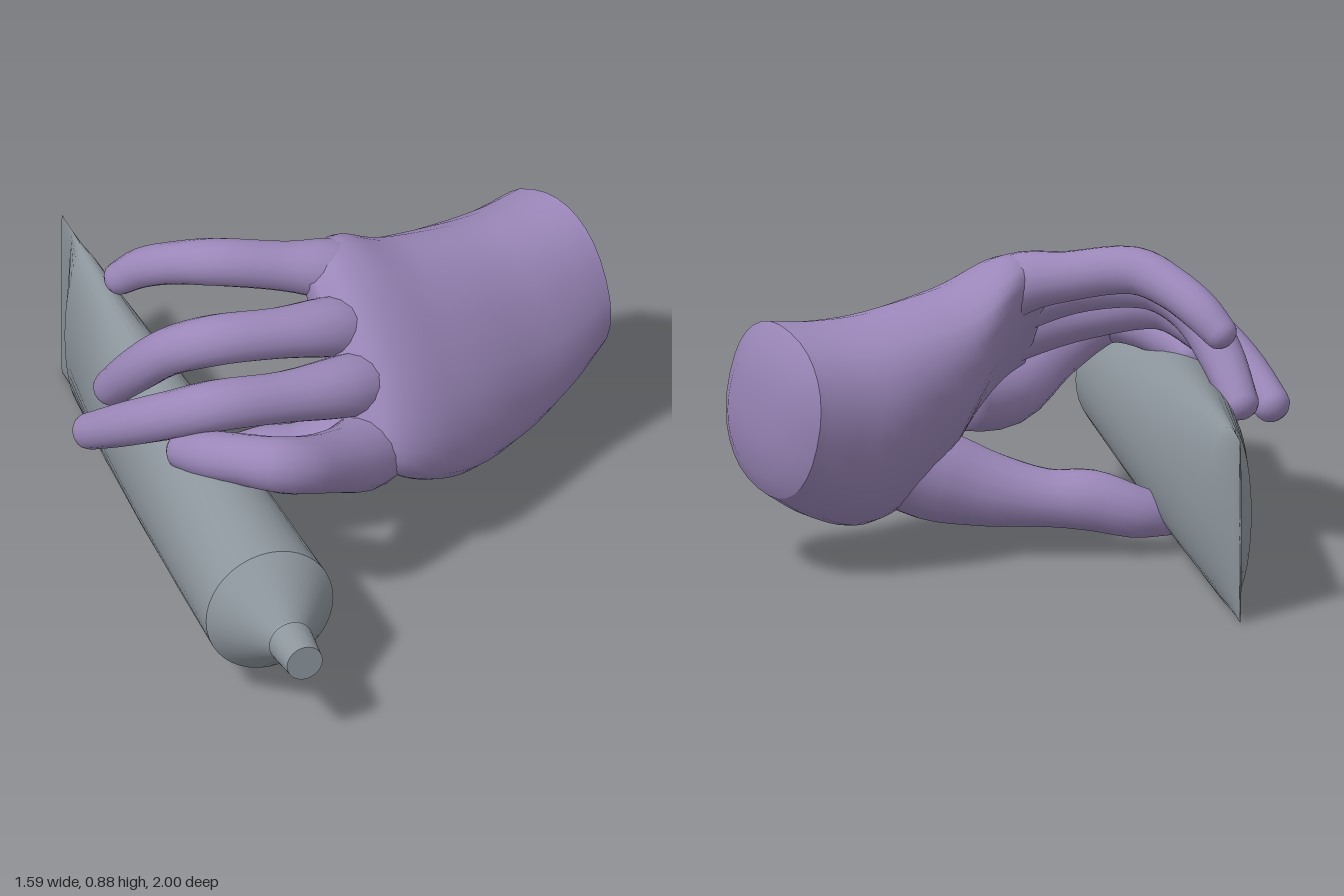
import * as THREE from 'three';

const V = (x, y, z) => new THREE.Vector3(x, y, z);
const skin = new THREE.MeshStandardMaterial({ color: 0x9b87b9, side: THREE.DoubleSide });
const metal = new THREE.MeshStandardMaterial({ color: 0x8d969d, side: THREE.DoubleSide });

// Oval ring with half-axes a and b; 'palm' flattens the b < 0 half, 'power' < 1 squares it
function ring(c, a, b, n, palm = 1, power = 1) {
  const bend = (v) => Math.sign(v) * Math.abs(v) ** power;
  return Array.from({ length: n }, (_, j) => {
    const t = (j / n) * Math.PI * 2;
    const s = bend(Math.sin(t));
    return c.clone().addScaledVector(a, bend(Math.cos(t))).addScaledVector(b, s < 0 ? s * palm : s);
  });
}

// Skin over a list of rings, closed at both ends; a repeated ring gives a sharp edge
function loft(name, rings, material) {
  const n = rings[0].length, pos = [], idx = [];
  rings.forEach((r) => r.forEach((p) => pos.push(p.x, p.y, p.z)));
  for (let i = 0; i < rings.length - 1; i++) {
    for (let j = 0; j < n; j++) {
      const a = i * n + j, b = i * n + ((j + 1) % n);
      idx.push(a, b, b + n, a, b + n, a + n);
    }
  }
  const last = rings.length - 1;
  [0, last].forEach((i) => {
    const c = rings[i].reduce((s, p) => s.add(p), V(0, 0, 0)).divideScalar(n);
    const k = pos.length / 3;
    pos.push(c.x, c.y, c.z);
    for (let j = 0; j < n; j++) {
      const a = i * n + j, b = i * n + ((j + 1) % n);
      if (i === 0) idx.push(k, b, a);
      else idx.push(k, a, b);
    }
  });
  const g = new THREE.BufferGeometry();
  g.setAttribute('position', new THREE.Float32BufferAttribute(pos, 3));
  g.setIndex(idx);
  g.computeVertexNormals();
  const mesh = new THREE.Mesh(g, material);
  mesh.name = name;
  return mesh;
}

// Tapered finger along joints [x, y, z, radius] with a rounded tip
function finger(name, joints) {
  const path = new THREE.CatmullRomCurve3(joints.map((p) => V(p[0], p[1], p[2])));
  const size = new THREE.CatmullRomCurve3(joints.map((p) => V(p[3], 0, 0)), false, 'catmullrom');
  const rings = [], steps = 24, n = 16;
  const add = (c, dir, r) => {
    const a = V(0, 0, 1).cross(dir).normalize();
    rings.push(ring(c, a.clone().multiplyScalar(r), dir.clone().cross(a).multiplyScalar(r), n));
  };
  for (let i = 0; i <= steps; i++) {
    add(path.getPoint(i / steps), path.getTangent(i / steps), size.getPoint(i / steps).x);
  }
  const end = joints[joints.length - 1][3], dir = path.getTangent(1), tip = path.getPoint(1);
  for (const k of [0.4, 0.8, 1.15, 1.4]) {
    add(tip.clone().addScaledVector(dir, Math.sin(k) * end * 0.8), dir, Math.cos(k) * end);
  }
  return loft(name, rings, skin);
}

// Palm and wrist: [x, y, z], half width, half thickness, tilt, yaw (degrees), palm-side fullness
function palm() {
  const keys = [
    [[-0.1, 0.6, 0.06], 0.25, 0.05, 44, 6, 0.7],
    [[-0.03, 0.585, 0.06], 0.33, 0.12, 44, 8, 0.7],
    [[0.07, 0.54, 0.005], 0.365, 0.175, 42, 14, 0.7],
    [[0.22, 0.455, -0.095], 0.35, 0.22, 36, 22, 0.82],
    [[0.42, 0.42, -0.21], 0.32, 0.225, 25, 26, 0.98],
    [[0.57, 0.44, -0.275], 0.285, 0.22, 20, 27, 1],
    [[0.69, 0.485, -0.325], 0.25, 0.215, 18, 27, 1],
  ];
  const curve = (f) => new THREE.CatmullRomCurve3(keys.map(f), false, 'catmullrom');
  const centre = curve((k) => V(...k[0]));
  const sizes = curve((k) => V(k[1], k[2], k[5]));
  const turns = curve((k) => V(k[3], k[4], 0).multiplyScalar(Math.PI / 180));
  const rings = [], steps = 30;
  for (let i = 0; i <= steps; i++) {
    const t = i / steps, s = sizes.getPoint(t), r = turns.getPoint(t);
    const side = V(Math.sin(r.y), 0, Math.cos(r.y));
    const a = V(0, Math.cos(r.x), 0).addScaledVector(side, -Math.sin(r.x)).multiplyScalar(s.x);
    const b = V(0, Math.sin(r.x), 0).addScaledVector(side, Math.cos(r.x)).multiplyScalar(s.y);
    rings.push(ring(centre.getPoint(t), a, b, 32, s.z, 0.88));
  }
  // Slightly domed end of the wrist
  const rim = rings[steps], hub = centre.getPoint(1);
  rings.push(rim.map((p) => p.clone()));
  for (const [shrink, out] of [[0.25, 0.035], [0.65, 0.05]]) {
    rings.push(rim.map((p) => p.clone().lerp(hub, shrink).addScaledVector(V(0.88, 0, -0.45), out)));
  }
  return loft('palmAndWrist', rings, skin);
}

// Part of the squeeze tube from sections [z, half width, half height, centre y], edged past the shoulder
function tubePart(name, sections) {
  const rings = [];
  sections.forEach(([z, w, h, y]) => {
    const r = ring(V(-0.51, y, z), V(w, 0, 0), V(0, h, 0), 40);
    rings.push(r);
    if (z > 0.7) rings.push(r.map((p) => p.clone()));
  });
  return loft(name, rings, metal);
}

export function createModel() {
  const model = new THREE.Group();

  const hand = new THREE.Group();
  hand.name = 'hand';
  hand.add(
    palm(),
    finger('indexFinger', [[0.14, 0.4, 0.04, 0.09], [-0.04, 0.385, 0.205, 0.11], [-0.2, 0.455, 0.335, 0.087],
      [-0.36, 0.525, 0.41, 0.08], [-0.45, 0.52, 0.34, 0.072], [-0.52, 0.495, 0.25, 0.068], [-0.565, 0.465, 0.16, 0.056]]),
    finger('middleFinger', [[0.12, 0.5, 0.03, 0.07], [-0.06, 0.565, 0.145, 0.09], [-0.28, 0.595, 0.185, 0.073],
      [-0.48, 0.61, 0.185, 0.073], [-0.58, 0.56, 0.115, 0.068], [-0.67, 0.48, 0.0, 0.063], [-0.74, 0.39, -0.13, 0.052]]),
    finger('ringFinger', [[0.14, 0.58, -0.06, 0.07], [-0.06, 0.68, 0.02, 0.086], [-0.25, 0.71, 0.04, 0.072],
      [-0.43, 0.71, 0.015, 0.072], [-0.53, 0.65, -0.06, 0.067], [-0.59, 0.55, -0.15, 0.063], [-0.63, 0.43, -0.26, 0.052]]),
    finger('littleFinger', [[0.16, 0.63, -0.16, 0.07], [-0.01, 0.76, -0.13, 0.088], [-0.16, 0.79, -0.16, 0.07],
      [-0.34, 0.812, -0.21, 0.067], [-0.43, 0.78, -0.29, 0.06], [-0.5, 0.73, -0.37, 0.056], [-0.55, 0.675, -0.42, 0.047]]),
    finger('thumb', [[0.42, 0.32, -0.2, 0.1], [0.22, 0.235, -0.135, 0.13], [0.05, 0.185, -0.145, 0.105],
      [-0.1, 0.162, -0.17, 0.082], [-0.22, 0.155, -0.188, 0.086], [-0.34, 0.122, -0.205, 0.074], [-0.44, 0.1, -0.185, 0.055]]),
  );

  const tube = new THREE.Group();
  tube.name = 'squeezeTube';
  tube.add(
    tubePart('tubeBody', [[-1, 0.004, 0.26, 0.26], [-0.92, 0.008, 0.26, 0.26], [-0.8, 0.064, 0.256, 0.259],
      [-0.4, 0.118, 0.24, 0.26], [0, 0.15, 0.223, 0.262], [0.4, 0.173, 0.204, 0.264],
      [0.71, 0.187, 0.188, 0.265], [0.87, 0.06, 0.06, 0.265], [0.9, 0.055, 0.055, 0.265]]),
    tubePart('tubeCap', [[0.885, 0.064, 0.064, 0.265], [1, 0.052, 0.052, 0.265]]),
  );

  model.add(hand, tube);
  return model;
}
